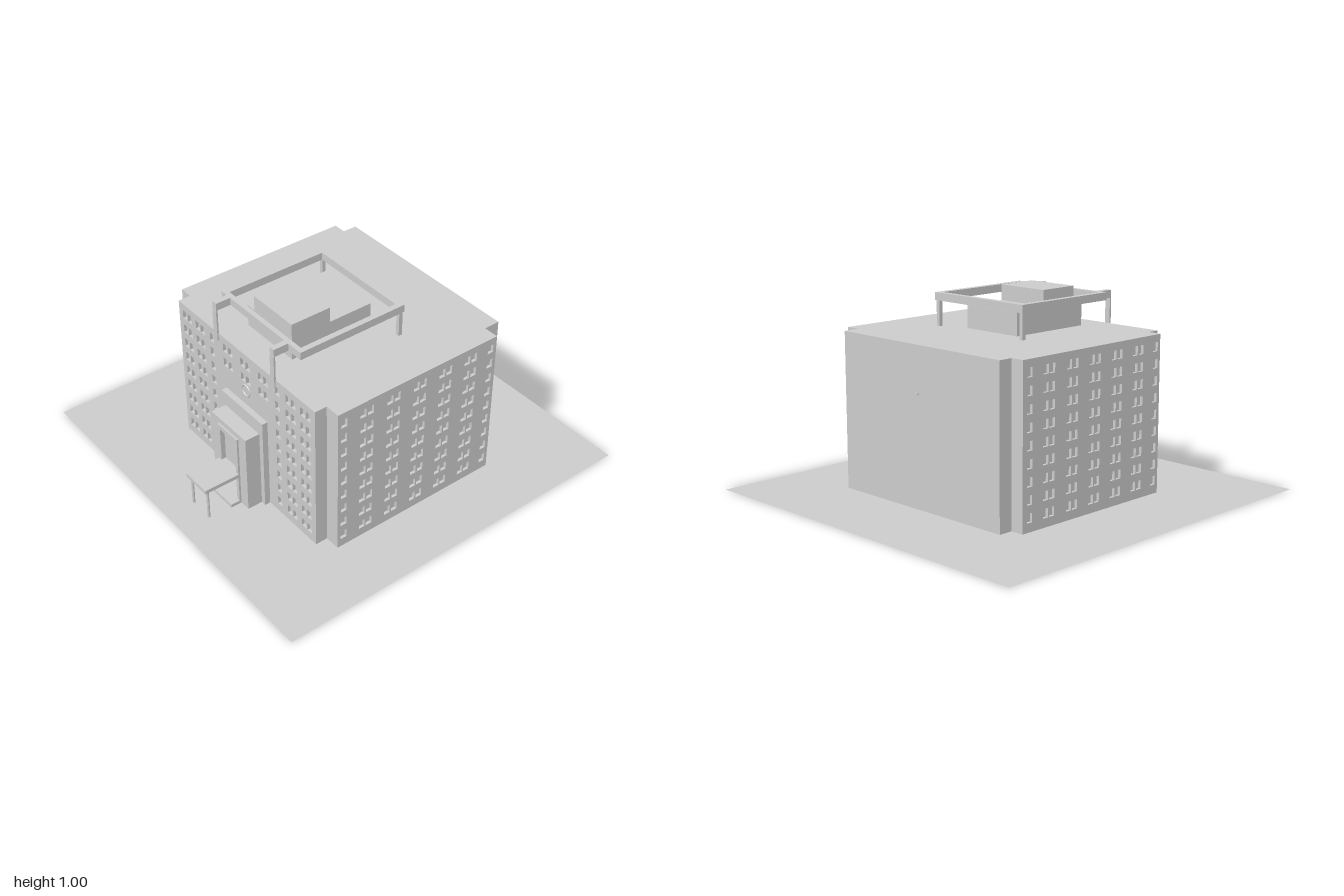
import * as THREE from 'three';

const D = 0.015; // window recess depth
const H = 0.8;   // roof height

export function createModel() {
  const root = new THREE.Group();
  const mat = new THREE.MeshStandardMaterial({ color: 0xcccccc, flatShading: true });
  const add = (name, geo, parent = root) => {
    const m = new THREE.Mesh(geo, mat);
    m.name = name;
    parent.add(m);
    return m;
  };
  // box given by its min and max on each axis
  const box = (name, x0, x1, y0, y1, z0, z1, parent) => {
    const m = add(name, new THREE.BoxGeometry(x1 - x0, y1 - y0, z1 - z0), parent);
    m.position.set((x0 + x1) / 2, (y0 + y1) / 2, (z0 + z1) / 2);
    return m;
  };
  const rect = (T, x0, x1, y0, y1) => new T([
    new THREE.Vector2(x0, y0), new THREE.Vector2(x1, y0),
    new THREE.Vector2(x1, y1), new THREE.Vector2(x0, y1)]);
  const extrude = (shape, depth) => new THREE.ExtrudeGeometry(shape, { depth, bevelEnabled: false });

  // ground plate
  const ground = add('ground', new THREE.PlaneGeometry(2, 2).rotateX(-Math.PI / 2));
  ground.material = mat.clone();
  ground.material.side = THREE.DoubleSide;

  // building core with notched corners, set back where window walls go
  const outline = [
    [-0.55 + D, 0.59], [-0.485, 0.59], [-0.485, 0.67 - D], [0.46, 0.67 - D], [0.46, 0.59], [0.545, 0.59],
    [0.545, -0.49], [0.47, -0.49], [0.47, -0.56 + D], [-0.485, -0.56 + D], [-0.485, -0.49], [-0.55 + D, -0.49]];
  const plan = new THREE.Shape(outline.map(([x, z]) => new THREE.Vector2(x, -z)));
  add('buildingCore', extrude(plan, H).rotateX(-Math.PI / 2));

  // wall sheet pierced by rows of paired windows; columns are [centre, panes, lowest row]
  const ROWS = 9, STEP = 0.084;
  const windowWall = (name, a, b, columns) => {
    const sheet = rect(THREE.Shape, a, b, 0, H);
    for (const [c, panes, first = 0] of columns) {
      for (let r = first; r < ROWS; r++) {
        const y = 0.045 + r * STEP;
        for (let p = 0; p < panes; p++) {
          const x = c + (p - (panes - 1) / 2) * 0.042;
          sheet.holes.push(rect(THREE.Path, x - 0.017, x + 0.017, y, y + 0.045));
        }
      }
    }
    return add(name, extrude(sheet, D));
  };
  const cols = [[-0.45, 1], [-0.32, 2], [-0.165, 2], [-0.01, 2], [0.145, 2], [0.3, 2], [0.425, 1]];
  windowWall('frontWindowWall', -0.485, 0.46, cols).position.z = 0.67 - D;
  const back = windowWall('backWindowWall', -0.47, 0.485, cols.map(([c, n]) => [-c, n]));
  back.rotation.y = Math.PI;
  back.position.z = -0.56 + D;
  const side = windowWall('entranceWindowWall', -0.49, 0.59, [
    [-0.42, 2], [-0.31, 2], [-0.21, 1], [-0.08, 2, 7], [0.06, 2, 7], [0.2, 2, 7],
    [0.31, 1], [0.41, 2], [0.52, 2]]);
  side.rotation.y = -Math.PI / 2;
  side.position.x = -0.55 + D;

  // small fitting on the plain side
  box('wallFitting', 0.545, 0.55, 0.56, 0.57, 0.05, 0.075);

  // rooftop rooms
  box('roofRoom', -0.4, 0.06, H, 0.915, -0.12, 0.225);
  box('roofTower', -0.4, -0.18, H, 0.995, -0.065, 0.225);

  // open rooftop frame on posts
  const pergola = new THREE.Group();
  pergola.name = 'roofFrame';
  root.add(pergola);
  const ring = rect(THREE.Shape, -0.475, 0.125, -0.39, 0.22);
  ring.holes.push(rect(THREE.Path, -0.45, 0.095, -0.36, 0.19));
  add('frameRing', extrude(ring, 0.04).rotateX(-Math.PI / 2), pergola).position.y = 0.93;
  for (const z of [-0.165, 0.285]) {
    box('frameArm', -0.555, -0.475, 0.93, 0.97, z - 0.015, z + 0.015, pergola);
    box('facadePost', -0.557, -0.548, 0.76, 0.93, z - 0.015, z + 0.015, pergola);
  }
  for (const z of [-0.205, 0.375]) box('cornerPost', 0.1, 0.12, H, 0.93, z - 0.01, z + 0.01, pergola);

  // stepped entrance portal, built facing +z and turned to face -x
  const portal = new THREE.Group();
  portal.name = 'entrancePortal';
  portal.rotation.y = -Math.PI / 2;
  portal.position.z = 0.06;
  root.add(portal);
  const surround = (name, halfW, h, openW, openH, z0, z1) => {
    const s = new THREE.Shape([
      [-halfW, 0], [-openW, 0], [-openW, openH], [openW, openH], [openW, 0], [halfW, 0], [halfW, h], [-halfW, h],
    ].map(([x, y]) => new THREE.Vector2(x, y)));
    add(name, extrude(s, z1 - z0), portal).position.z = z0;
  };
  box('portalBacking', -0.165, 0.165, 0, 0.505, 0.545, 0.58, portal);
  surround('portalBlock', 0.138, 0.43, 0.06, 0.375, 0.58, 0.66);
  surround('doorFrame', 0.08, 0.4, 0.06, 0.375, 0.66, 0.67);
  box('upperGlazing', -0.06, 0.06, 0.185, 0.375, 0.58, 0.645, portal);
  box('door', -0.06, 0.06, 0, 0.165, 0.58, 0.6, portal);
  box('doorStep', -0.08, 0.08, 0, 0.018, 0.6, 0.72, portal);
  box('canopy', -0.08, 0.08, 0.165, 0.185, 0.6, 0.86, portal);
  for (const s of [-1, 1]) {
    const post = add('canopyPost', new THREE.CylinderGeometry(0.007, 0.007, 0.165, 8), portal);
    post.position.set(s * 0.065, 0.0825, 0.84);
  }
  add('wallRing', new THREE.TorusGeometry(0.03, 0.005, 6, 20), portal).position.set(0, 0.59, 0.55);
  return root;
}
